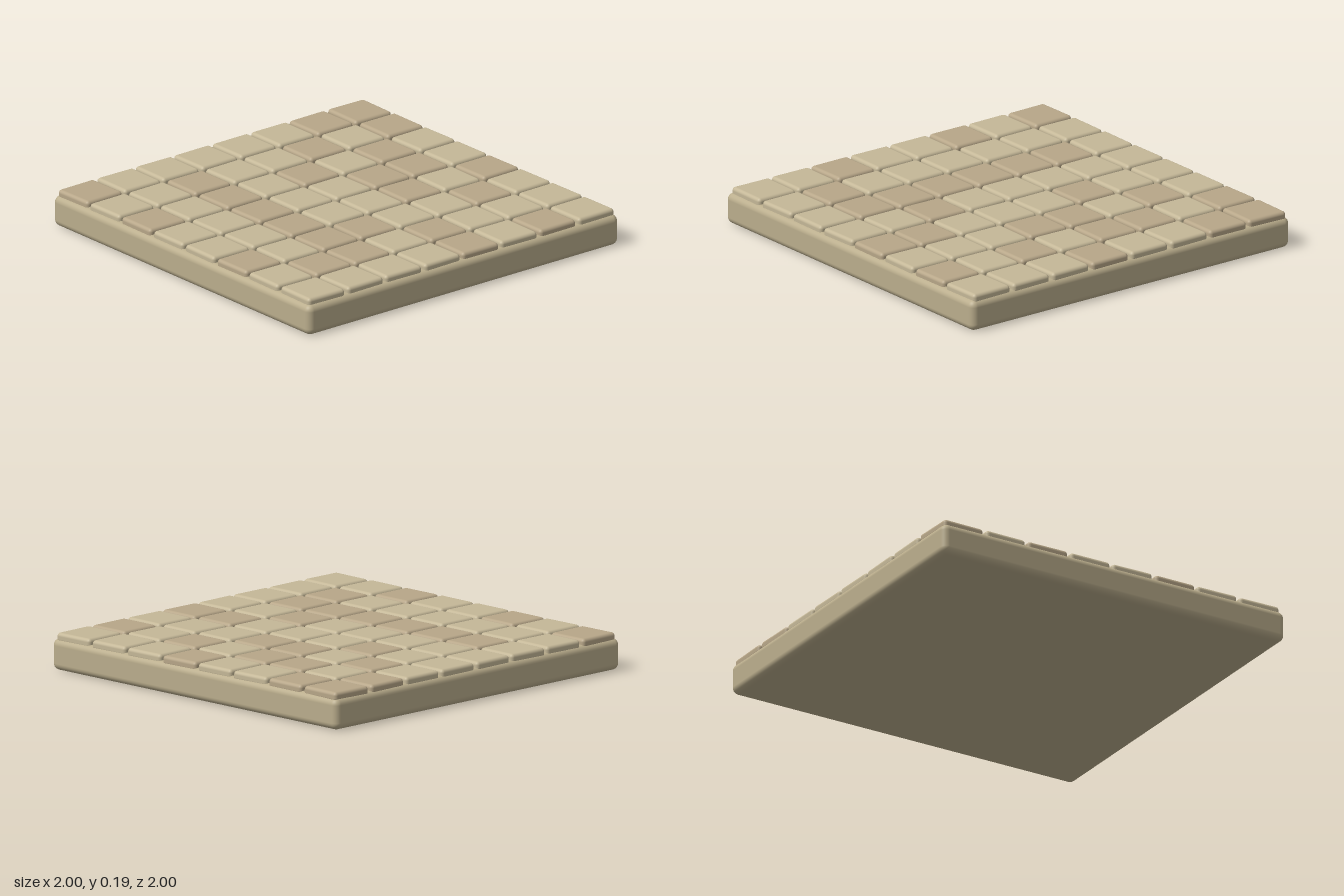
import * as THREE from 'three';
import { RoundedBoxGeometry } from 'three/addons/geometries/RoundedBoxGeometry.js';

// One row per line from back to front; D is a darker stone, L a lighter one
const PATTERN = [
  'DDLLDLLL',
  'DLDDLDLD',
  'LDLDDLLL',
  'LLDLLLDD',
  'LLLLLDLL',
  'LDDDDDDL',
  'LLLLLLDL',
  'DLDLLDLL',
];
const PITCH = 0.2475;
const TILE = 0.231;
const TOP = 0.19;
const TILE_HEIGHT = 0.05;

function seededRandom(seed) {
  return () => {
    seed = (seed * 16807) % 2147483647;
    return seed / 2147483647;
  };
}

export function createModel() {
  const model = new THREE.Group();
  model.name = 'pavedFloor';
  const slabMaterial = new THREE.MeshStandardMaterial({ color: 0xbaad8c });
  const lightStone = new THREE.MeshStandardMaterial({ color: 0xc4b797 });
  const darkStone = new THREE.MeshStandardMaterial({ color: 0xb7a688 });

  // Base slab with softened edges
  const slab = new THREE.Mesh(new RoundedBoxGeometry(2, 0.16, 2, 4, 0.035), slabMaterial);
  slab.name = 'baseSlab';
  slab.position.y = 0.08;
  model.add(slab);

  // Paving stones, sunk into the slab and each turned very slightly
  const random = seededRandom(41);
  const tileGeometry = new RoundedBoxGeometry(TILE, TILE_HEIGHT, TILE, 4, 0.018);
  const paving = new THREE.Group();
  paving.name = 'paving';
  PATTERN.forEach((row, r) => {
    [...row].forEach((shade, c) => {
      const tile = new THREE.Mesh(tileGeometry, shade === 'D' ? darkStone : lightStone);
      tile.name = `pavingStone_${r + 1}_${c + 1}`;
      tile.position.set((c - 3.5) * PITCH - 0.003, TOP - TILE_HEIGHT / 2, (r - 3.5) * PITCH - 0.003);
      tile.rotation.y = (random() - 0.5) * 0.04;
      paving.add(tile);
    });
  });
  model.add(paving);

  return model;
}
